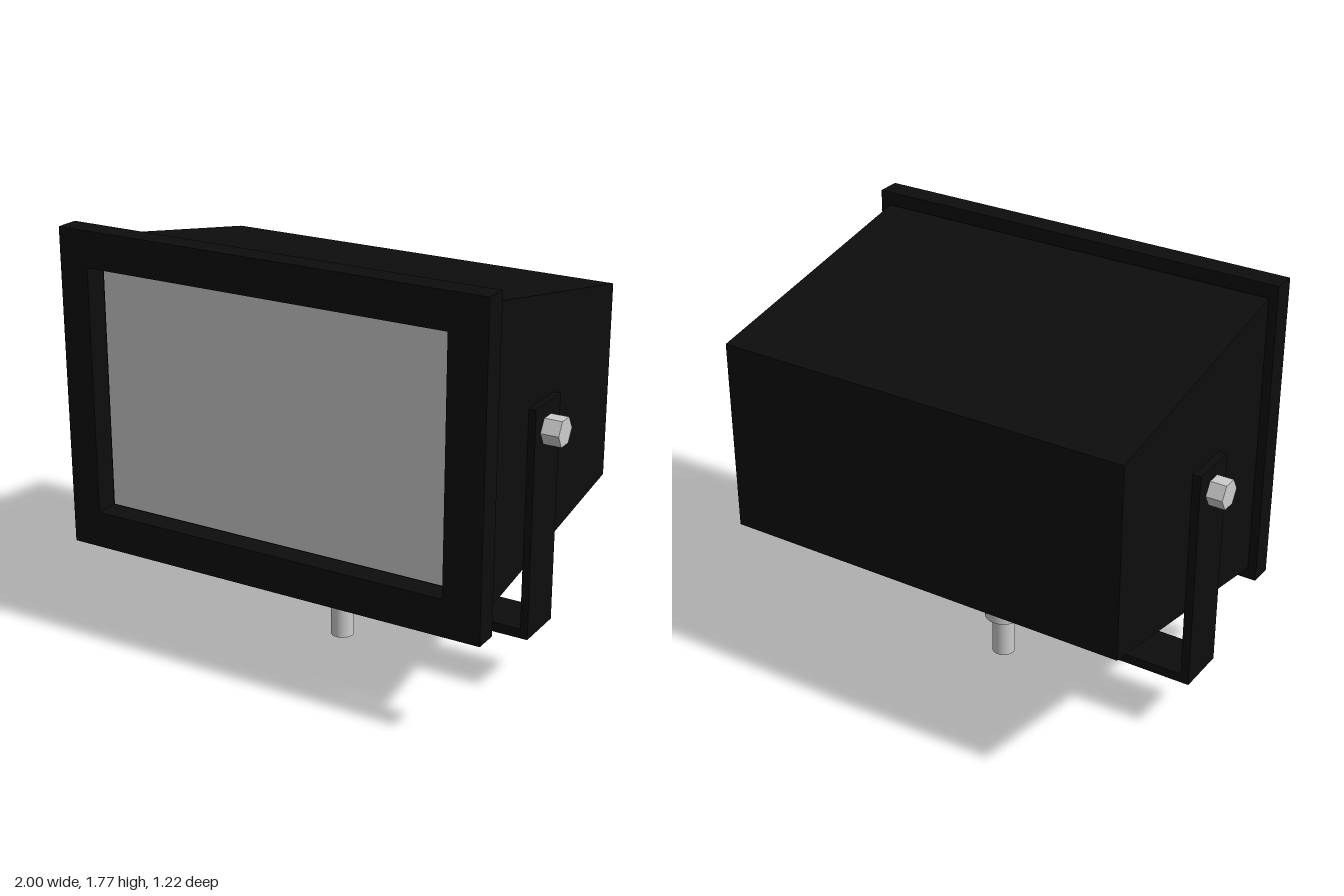
import * as THREE from 'three';

const black = new THREE.MeshStandardMaterial({ color: 0x0d0d0d });
black.name = 'black housing';
const grey = new THREE.MeshStandardMaterial({ color: 0xcccccc });
grey.name = 'light grey';

function add(group, name, geometry, material, x = 0, y = 0, z = 0) {
  const mesh = new THREE.Mesh(geometry, material);
  mesh.name = name;
  mesh.position.set(x, y, z);
  group.add(mesh);
  return mesh;
}

// Box given by its minimum and maximum corners
function addBox(group, name, material, [x0, y0, z0], [x1, y1, z1]) {
  return add(group, name, new THREE.BoxGeometry(x1 - x0, y1 - y0, z1 - z0), material,
    (x0 + x1) / 2, (y0 + y1) / 2, (z0 + z1) / 2);
}

function rectangle(PathType, x0, y0, x1, y1) {
  return new PathType([[x0, y0], [x1, y0], [x1, y1], [x0, y1]]
    .map(([x, y]) => new THREE.Vector2(x, y)));
}

export function createModel() {
  const model = new THREE.Group();
  model.name = 'floodlight';

  // Housing: side profile tapering to the back, extruded across the width
  const profile = new THREE.Shape([[-0.503, 0.487], [0.61, 0.68], [0.61, 1.505], [-0.503, 1.715]]
    .map(([z, y]) => new THREE.Vector2(z, y)));
  const housing = new THREE.ExtrudeGeometry(profile, { depth: 1.79, bevelEnabled: false });
  housing.translate(0, 0, -0.895);
  housing.rotateY(Math.PI / 2);
  add(model, 'housing', housing, black);

  // Front frame with its opening, and the recessed lens
  const rim = rectangle(THREE.Shape, -0.93, 0.43, 0.945, 1.77);
  rim.holes.push(rectangle(THREE.Path, -0.80, 0.585, 0.785, 1.62));
  add(model, 'frontFrame', new THREE.ExtrudeGeometry(rim, { depth: 0.1, bevelEnabled: false }),
    black, 0, 0, 0.51);
  addBox(model, 'lens', grey, [-0.80, 0.585, 0.502], [0.785, 1.62, 0.507]);

  // U-shaped mounting bracket
  const bracket = new THREE.Group();
  bracket.name = 'bracket';
  model.add(bracket);
  addBox(bracket, 'bracketBase', black, [-0.93, 0.25, -0.07], [0.925, 0.29, 0.15]);
  addBox(bracket, 'bracketRightArm', black, [-0.93, 0.29, -0.07], [-0.893, 1.21, 0.15]);
  addBox(bracket, 'bracketLeftArm', black, [0.893, 0.29, -0.07], [0.925, 1.21, 0.15]);

  // Hexagonal pivot bolts
  for (const side of [-1, 1]) {
    const head = new THREE.CylinderGeometry(0.061, 0.061, 0.08, 6).toNonIndexed();
    head.rotateZ(Math.PI / 2);
    head.computeVertexNormals();
    add(model, side > 0 ? 'leftPivotBolt' : 'rightPivotBolt', head, grey, side * 0.96, 1.1, 0.042);
  }

  // Mounting stud with a nut above and below the bracket
  for (const [name, radius, bottom, top] of [
    ['mountingStud', 0.049, 0, 0.39],
    ['lowerNut', 0.08, 0.18, 0.25],
    ['upperNut', 0.08, 0.29, 0.355],
  ]) {
    add(model, name, new THREE.CylinderGeometry(radius, radius, top - bottom, 32), grey,
      0.02, (bottom + top) / 2, 0.042);
  }

  return model;
}
